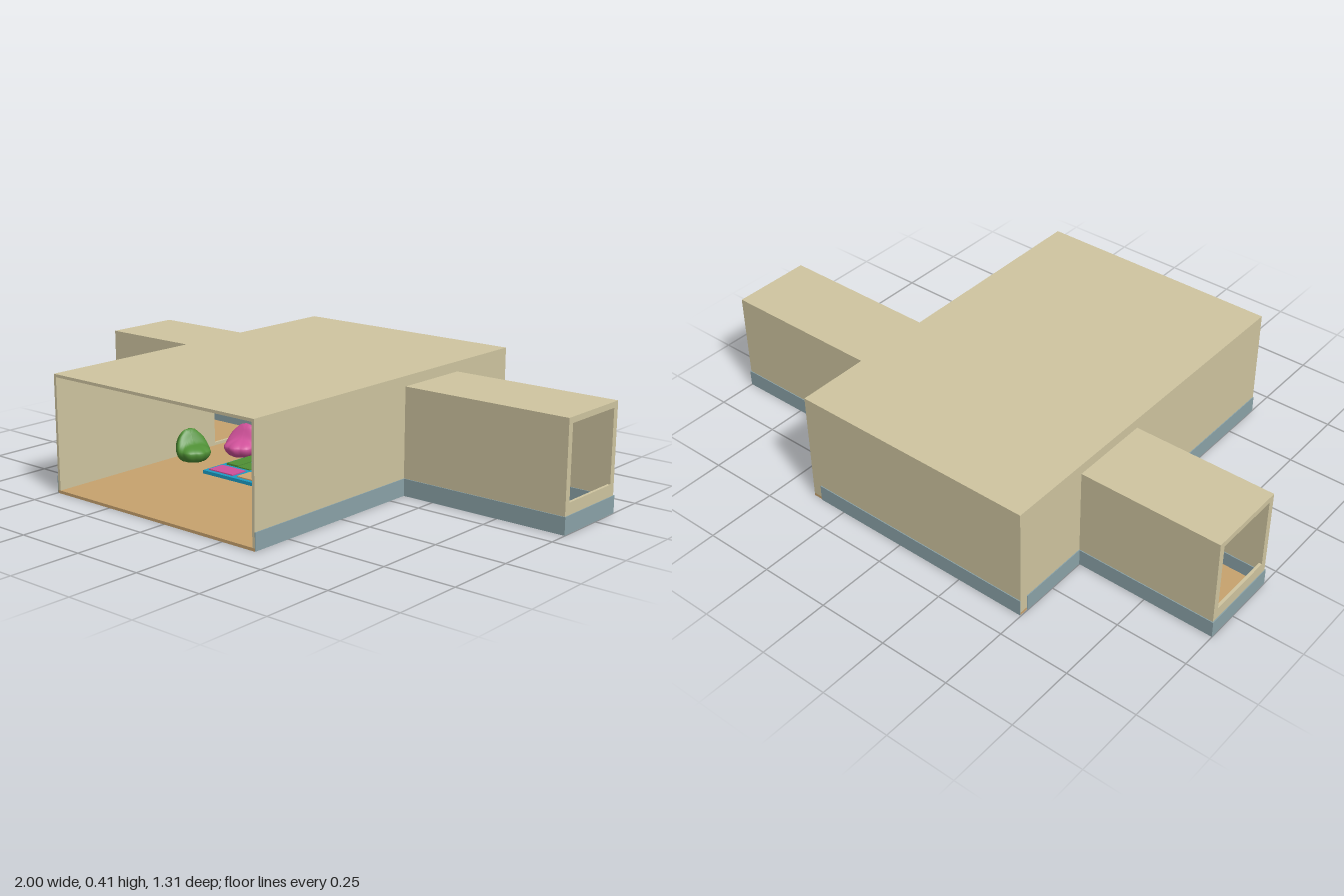
import * as THREE from 'three';

const mat = (name, color) => {
  const m = new THREE.MeshStandardMaterial({ color });
  m.name = name;
  return m;
};

export function createModel() {
  const M = {
    wall: mat('wallCream', 0xcfc5a0),
    stripe: mat('stripeBlueGrey', 0x8ba3a8),
    floor: mat('floorTan', 0xc7a26e),
    wood: mat('woodOrange', 0xdca66c),
    green: mat('green', 0x4f8f35),
    pink: mat('pink', 0xd0519a),
    sand: mat('sand', 0xd0a670),
    blue: mat('blue', 0x1c9cc4),
    white: mat('white', 0xe4e2da),
  };
  const root = new THREE.Group();
  root.name = 'playroom';

  // Box given by its low and high limits on each axis
  function box(name, m, [x0, x1], [y0, y1], [z0, z1], parent = root) {
    const mesh = new THREE.Mesh(new THREE.BoxGeometry(x1 - x0, y1 - y0, z1 - z0), m);
    mesh.position.set((x0 + x1) / 2, (y0 + y1) / 2, (z0 + z1) / 2);
    mesh.name = name;
    parent.add(mesh);
    return mesh;
  }

  // Upright wall across x, drawn in (z, y), with a rectangular opening
  function wallWithHole(name, x, t, [z0, z1], [y0, y1], hz, hy) {
    const s = new THREE.Shape([[-z0, y0], [-z0, y1], [-z1, y1], [-z1, y0]].map(p => new THREE.Vector2(...p)));
    s.holes.push(new THREE.Path([[-hz[0], hy[0]], [-hz[1], hy[0]], [-hz[1], hy[1]], [-hz[0], hy[1]]]
      .map(p => new THREE.Vector2(...p))));
    const g = new THREE.ExtrudeGeometry(s, { depth: t, bevelEnabled: false });
    g.rotateY(Math.PI / 2);
    const mesh = new THREE.Mesh(g, M.wall);
    mesh.position.x = x;
    mesh.name = name;
    root.add(mesh);
  }

  const T = 0.01, E = 0.003, H = 0.405, WH = 0.37;
  const X0 = -0.497, X1 = 0.385, Z0 = -0.652, Z1 = 0.65;
  const WZ0 = -0.36, WZ1 = -0.073;

  // Main hall, open at the front
  box('hallFloor', M.floor, [X0, X1], [0, T], [Z0, Z1]);
  box('hallRoof', M.wall, [X0, X1], [H - T, H], [Z0, Z1]);
  box('hallBackWall', M.wall, [X0, X1], [T, H - T], [Z0, Z0 + T]);
  const door = [[WZ0 + T, WZ1 - T], [0.02, WH - T]];
  wallWithHole('hallRightWall', X0, T, [Z0 + T, Z1], [T, H - T], ...door);
  wallWithHole('hallLeftWall', X1 - T, T, [Z0 + T, Z1], [T, H - T], ...door);

  // Painted base band on the hall
  const band = [0.001, 0.06];
  box('backBand', M.stripe, [X0, X1 - 0.035], band, [Z0 - E, Z0]);
  box('innerBackBand', M.stripe, [X0 + T, X1 - T], [T, 0.06], [Z0 + T, Z0 + T + E]);
  for (const [z0, z1] of [[Z0 + 0.03, WZ0], [WZ1, Z1]]) {
    box('leftBand', M.stripe, [X1, X1 + E], band, [z0, z1]);
    box('rightBand', M.stripe, [X0 - E, X0], band, [z0, z1]);
  }

  // Side wings, each with a window in its end wall
  const end = 0.997;
  for (const side of [1, -1]) {
    const label = side > 0 ? 'left' : 'right';
    const inner = side > 0 ? X1 : X0;
    const xs = [Math.min(inner, side * end), Math.max(inner, side * end)];
    box(label + 'WingFloor', M.floor, xs, [0, T], [WZ0, WZ1]);
    box(label + 'WingRoof', M.wall, xs, [WH - T, WH], [WZ0, WZ1]);
    box(label + 'WingBackWall', M.wall, xs, [T, WH - T], [WZ0, WZ0 + T]);
    box(label + 'WingFrontWall', M.wall, xs, [T, WH - T], [WZ1 - T, WZ1]);
    wallWithHole(label + 'WingWindowWall', side > 0 ? end - T : -end, T,
      [WZ0 + T, WZ1 - T], [T, WH - T], [-0.338, -0.095], [0.1, 0.35]);
    // Bands outside and inside the wing
    const inside = [xs[0] + T, xs[1] - T];
    box(label + 'WingBand', M.stripe, xs, band, [WZ0 - E, WZ0]);
    box(label + 'WingBand', M.stripe, xs, band, [WZ1, WZ1 + E]);
    box(label + 'WingInnerBand', M.stripe, inside, [T, 0.06], [WZ0 + T, WZ0 + T + E]);
    box(label + 'WingInnerBand', M.stripe, inside, [T, 0.06], [WZ1 - T - E, WZ1 - T]);
    box(label + 'WingEndBand', M.stripe, side > 0 ? [end, end + E] : [-end - E, -end], band, [WZ0 - E, WZ1 + E]);
  }

  // Bean bags: ribbed balls with a low seat toward +x and a high back
  function beanBag(name, m, x, z, turn, w = 0.062) {
    const g = new THREE.SphereGeometry(1, 40, 20);
    const p = g.attributes.position;
    for (let i = 0; i < p.count; i++) {
      const a = Math.atan2(p.getZ(i), p.getX(i));
      const rib = 1 - 0.09 * Math.pow(Math.abs(Math.sin(a * 4)), 6);
      const px = p.getX(i) * rib, py = p.getY(i), pz = p.getZ(i) * rib;
      const t = THREE.MathUtils.smoothstep(px, -0.3, 0.35);
      const top = THREE.MathUtils.lerp(0.078, 0.026, t);
      p.setXYZ(i, px * w - Math.max(py, 0) * 0.012, 0.045 + (py > 0 ? py * top : Math.max(py, -0.75) * 0.045), pz * w);
    }
    g.computeVertexNormals();
    const mesh = new THREE.Mesh(g, m);
    mesh.position.set(x, T, z);
    mesh.rotation.y = turn;
    mesh.name = name;
    root.add(mesh);
  }
  beanBag('greenBeanBag', M.green, -0.385, 0.13, -0.3);
  beanBag('pinkBeanBag', M.pink, -0.30, -0.03, -1.4, 0.066);
  beanBag('sandBeanBag', M.sand, 0.035, 0.03, -0.3, 0.066);

  // Play mat with coloured tiles
  box('playMat', M.blue, [-0.27, 0], [T, 0.022], [-0.07, 0.2]);
  const tiles = [M.pink, M.sand, M.green, M.pink, M.green, M.sand];
  tiles.forEach((m, i) => {
    const x = -0.255 + (i % 2) * 0.13, z = 0.12 - Math.floor(i / 2) * 0.085;
    box('matTile', m, [x, x + 0.11], [0.022, 0.026], [z, z + 0.065]);
  });
  box('matLongTile', M.green, [-0.252, -0.2], [0.026, 0.029], [-0.05, 0.1]);

  // Table with four legs and a rail
  const tx = [0.2, 0.335], tz = [-0.53, -0.4];
  box('tableTop', M.wood, tx, [0.078, 0.09], tz);
  for (const x of [tx[0] + 0.008, tx[1] - 0.023])
    for (const z of [tz[0] + 0.008, tz[1] - 0.023])
      box('tableLeg', M.wood, [x, x + 0.015], [T, 0.078], [z, z + 0.015]);
  box('tableRail', M.wood, [tx[0] + 0.023, tx[1] - 0.023], [0.062, 0.078], [tz[1] - 0.02, tz[1] - 0.012]);
  // Small stool under the table
  box('stoolSeat', M.wood, [0.24, 0.315], [0.058, 0.066], [-0.49, -0.43]);
  for (const x of [0.243, 0.302]) box('stoolSide', M.wood, [x, x + 0.01], [T, 0.058], [-0.48, -0.44]);

  // Cabinet against the left wall
  box('cabinet', M.wood, [0.315, X1 - T], [T, 0.235], [-0.64, -0.38]);
  box('cabinetFoot', M.wood, [X1 - T, X1 + 0.005], [0.004, 0.014], [-0.53, -0.38]);

  // Ceiling panels
  box('greenCeilingPanel', M.green, [-0.48, -0.18], [0.387, 0.395], [-0.3, 0]);
  box('pinkCeilingPanel', M.pink, [-0.13, 0.17], [0.387, 0.395], [-0.3, 0]);
  box('sandCeilingPanel', M.sand, [0.2, 0.32], [0.387, 0.395], [-0.3, 0]);

  // Small white wall pieces on the right wall
  for (let i = 0; i < 5; i++)
    box('wallPiece', M.white, [X0 + T, X0 + 0.024], [0.03 + i * 0.045, 0.05 + i * 0.045],
      [-0.6 + (i % 2) * 0.08, -0.54 + (i % 2) * 0.08]);
  box('wallShelf', M.white, [X0 + T, X0 + 0.028], [0.312, 0.325], [-0.6, -0.42]);

  return root;
}
